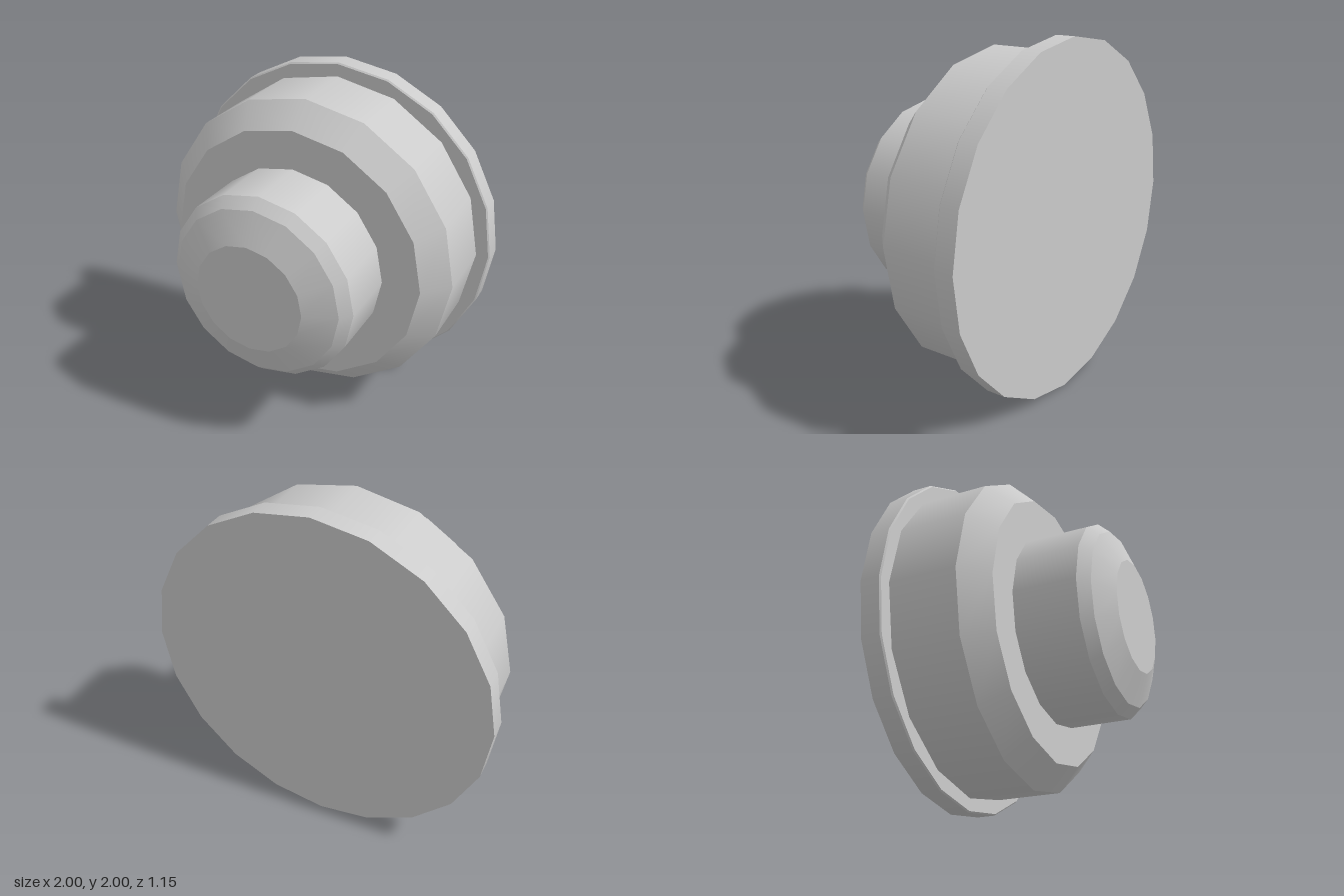
import * as THREE from 'three';
import { mergeGeometries } from 'three/addons/utils/BufferGeometryUtils.js';

const material = new THREE.MeshStandardMaterial({ color: 0xcccccc });

// Turns a [radius, z] profile about the z axis: smooth around, creased at every ring.
function turned(name, profile, sides) {
  const bands = [];
  for (let i = 0; i < profile.length - 1; i++) {
    const pair = [profile[i], profile[i + 1]].map(([r, z]) => new THREE.Vector2(r, z));
    bands.push(new THREE.LatheGeometry(pair, sides));
  }
  const geometry = mergeGeometries(bands);
  geometry.rotateX(Math.PI / 2);
  geometry.translate(0, 1, 0);
  const mesh = new THREE.Mesh(geometry, material);
  mesh.name = name;
  return mesh;
}

export function createModel() {
  const model = new THREE.Group();
  model.name = 'pushButton';

  // Wide back plate with a slightly eased front edge
  model.add(turned('flange', [
    [0, -0.575], [1, -0.575], [1, -0.463], [0.992, -0.455], [0.84, -0.455],
  ], 20));

  // Housing with a chamfered front rim
  model.add(turned('housing', [
    [0.92, -0.46], [0.92, -0.06], [0.785, 0.077], [0.5, 0.077],
  ], 16));

  // Plunger with a two-step bevel and a flat face
  model.add(turned('plunger', [
    [0.56, 0.07], [0.56, 0.44], [0.505, 0.5], [0.325, 0.575], [0, 0.575],
  ], 16));

  return model;
}
